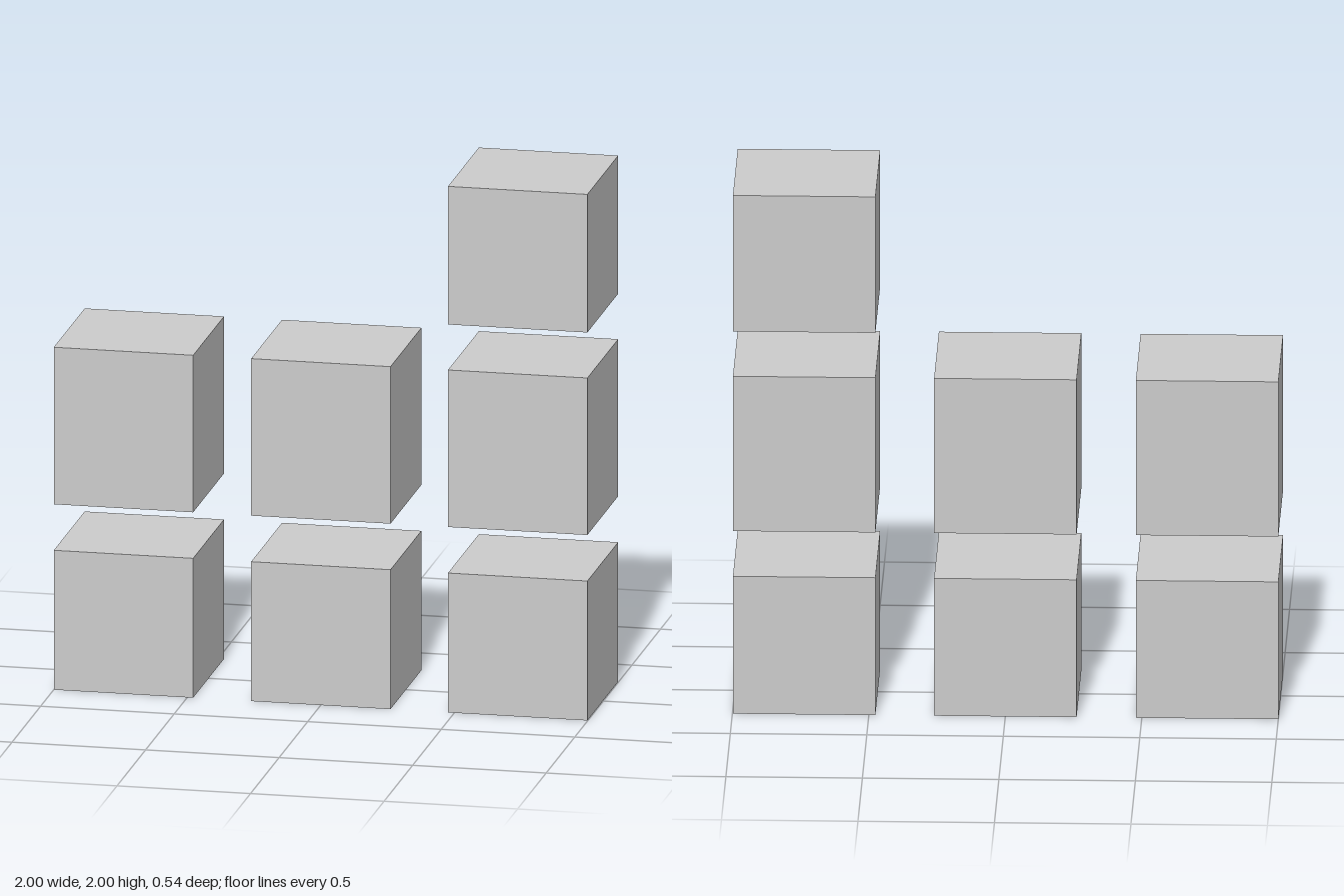
import * as THREE from 'three';

export function createModel() {
  const group = new THREE.Group();
  const material = new THREE.MeshStandardMaterial({ color: 0xcccccc, flatShading: true });
  const width = 0.522, depth = 0.54;
  const columns = [-0.739, 0, 0.737];

  // Rows of separate blocks: bottom, top and the columns they occupy
  const rows = [
    { name: 'lowerBlock', bottom: 0, top: 0.53, xs: columns },
    { name: 'middleBlock', bottom: 0.705, top: 1.302, xs: columns },
    { name: 'upperBlock', bottom: 1.475, top: 2, xs: [columns[2]] },
  ];

  for (const { name, bottom, top, xs } of rows) {
    const geometry = new THREE.BoxGeometry(width, top - bottom, depth);
    xs.forEach((x, i) => {
      const block = new THREE.Mesh(geometry, material);
      block.name = xs.length > 1 ? `${name}${i + 1}` : name;
      block.position.set(x, (bottom + top) / 2, 0);
      group.add(block);
    });
  }
  return group;
}
